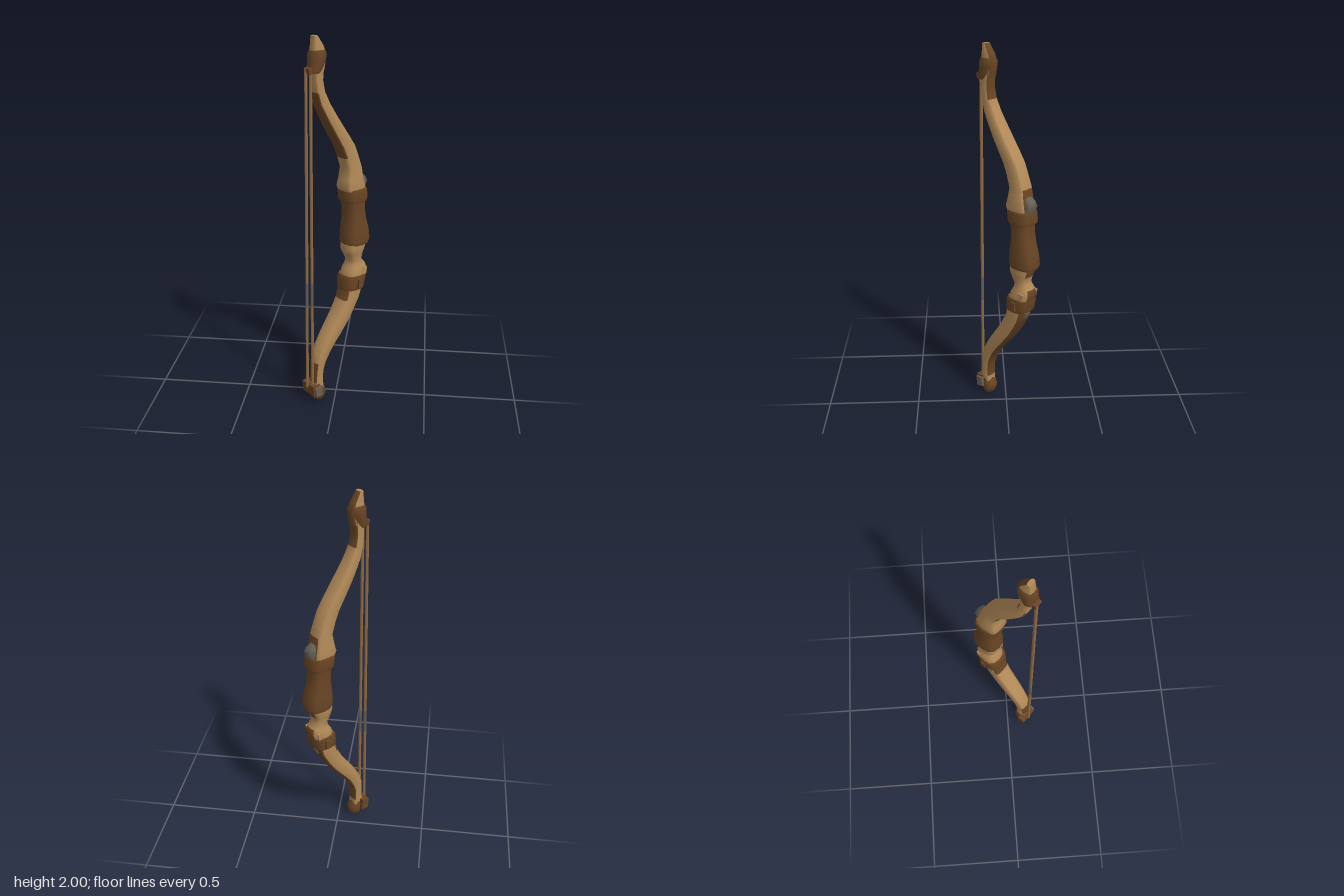
import * as THREE from 'three';

const mat = (name, color) => {
  const m = new THREE.MeshStandardMaterial({ color });
  m.name = name;
  return m;
};

export function createModel() {
  const wood = mat('wood', 0xb28a58);
  const leather = mat('leather', 0x694524);
  const metal = mat('dull grey', 0x686058);
  const cord = mat('cord', 0x916c44);

  const bow = new THREE.Group();
  bow.name = 'bow';

  // Lofted tube. Rows are [y, back x, belly x, half depth], rising in y.
  // power below 1 squares the section; pick(angle, y) is 1 for faces in the second material.
  function loft(name, rows, mats, sides, power, pick = () => 0) {
    const pos = [], lists = [[], []];
    const bulge = (v) => (Math.abs(v) < 1e-6 ? 0 : Math.sign(v) * Math.abs(v) ** power);
    rows.forEach(([y, x0, x1, hw]) => {
      for (let j = 0; j < sides; j++) {
        const a = (j / sides) * Math.PI * 2;
        pos.push((x0 + x1) / 2 + bulge(Math.cos(a)) * (x1 - x0) / 2, y, bulge(Math.sin(a)) * hw);
      }
    });
    for (let i = 0; i < rows.length - 1; i++) {
      for (let j = 0; j < sides; j++) {
        const k = (j + 1) % sides;
        const a = i * sides + j, b = i * sides + k, c = a + sides, d = b + sides;
        const which = pick(((j + 0.5) / sides) * Math.PI * 2, (rows[i][0] + rows[i + 1][0]) / 2);
        lists[which].push(a, c, b, b, c, d);
      }
    }
    // End caps with their own corners, so the rims stay crisp
    [0, rows.length - 1].forEach((r) => {
      const base = pos.length / 3;
      for (let j = 0; j < sides; j++) pos.push(...pos.slice((r * sides + j) * 3, (r * sides + j) * 3 + 3));
      for (let j = 1; j < sides - 1; j++) {
        lists[0].push(...(r === 0 ? [base, base + j, base + j + 1] : [base, base + j + 1, base + j]));
      }
    });
    const geo = new THREE.BufferGeometry();
    geo.setAttribute('position', new THREE.Float32BufferAttribute(pos, 3));
    geo.setIndex([...lists[0], ...lists[1]]);
    geo.addGroup(0, lists[0].length, 0);
    geo.addGroup(lists[0].length, lists[1].length, 1);
    geo.computeVertexNormals();
    const mesh = new THREE.Mesh(geo, mats);
    mesh.name = name;
    bow.add(mesh);
  }

  function box(name, size, at, material, tilt = 0) {
    const mesh = new THREE.Mesh(new THREE.BoxGeometry(...size), material);
    mesh.name = name;
    mesh.position.set(...at);
    mesh.rotation.z = tilt;
    bow.add(mesh);
  }

  const two = [wood, leather];
  const belly = (a) => Math.cos(a) > 0.3;
  const ridge = (a) => Math.cos(a) > 0.9;
  const back = (a) => Math.cos(a) < -0.3;

  // Upper limb: leather on its inner face
  loft('upperLimb', [
    [1.17, 0.05, 0.165, 0.055], [1.21, 0.03, 0.165, 0.06], [1.25, 0.04, 0.155, 0.055],
    [1.31, 0.05, 0.145, 0.05], [1.37, 0.03, 0.125, 0.047], [1.43, 0.005, 0.102, 0.046],
    [1.49, -0.03, 0.062, 0.046], [1.55, -0.065, 0.02, 0.045], [1.61, -0.098, -0.02, 0.042],
    [1.67, -0.128, -0.057, 0.038], [1.73, -0.142, -0.086, 0.035], [1.79, -0.147, -0.098, 0.033],
    [1.86, -0.15, -0.09, 0.033],
  ], two, 12, 0.5, (a, y) => (back(a) && y > 1.37 && y < 1.75)
    || (belly(a) && y > 1.74) || (ridge(a) && y < 1.31) ? 1 : 0);

  // Lower limb: leather on its outer face
  loft('lowerLimb', [
    [0.05, -0.165, -0.105, 0.035], [0.12, -0.17, -0.11, 0.033], [0.19, -0.165, -0.108, 0.035],
    [0.24, -0.162, -0.09, 0.038], [0.29, -0.148, -0.062, 0.042], [0.34, -0.122, -0.025, 0.045],
    [0.39, -0.092, 0.018, 0.048], [0.45, -0.05, 0.065, 0.05], [0.51, -0.01, 0.102, 0.051],
    [0.57, 0.022, 0.135, 0.053], [0.60, 0.03, 0.145, 0.054], [0.64, 0.04, 0.155, 0.055],
  ], two, 12, 0.5, (a, y) => (belly(a) && y > 0.15)
    || (back(a) && (y > 0.58 || (y > 0.15 && y < 0.26))) ? 1 : 0);

  // Carved waist between the lower strap and the grip
  loft('carvedWaist', [
    [0.63, 0.04, 0.16, 0.056], [0.70, 0.05, 0.18, 0.062], [0.735, 0.06, 0.19, 0.06],
    [0.76, 0.075, 0.18, 0.05], [0.79, 0.082, 0.155, 0.045], [0.83, 0.06, 0.165, 0.053],
    [0.86, 0.05, 0.178, 0.06], [0.90, 0.055, 0.18, 0.06],
  ], two, 12, 0.75, (a, y) => (ridge(a) && (y < 0.77 || y > 0.83) ? 1 : 0));

  // Leather grip and bindings
  loft('grip', [
    [0.88, 0.055, 0.2, 0.062], [0.90, 0.048, 0.207, 0.068], [0.96, 0.05, 0.2, 0.066],
    [1.02, 0.058, 0.182, 0.062], [1.08, 0.06, 0.172, 0.06], [1.13, 0.055, 0.172, 0.062],
  ], [leather, leather], 12, 0.75);
  loft('upperBinding', [
    [1.125, 0.045, 0.182, 0.066], [1.14, 0.038, 0.188, 0.07], [1.185, 0.036, 0.182, 0.07],
    [1.197, 0.042, 0.176, 0.065],
  ], [leather, leather], 12, 0.75);
  loft('lowerBinding', [
    [0.625, 0.035, 0.165, 0.064], [0.635, 0.03, 0.17, 0.069], [0.69, 0.034, 0.182, 0.071],
    [0.705, 0.042, 0.178, 0.066],
  ], [leather, leather], 12, 0.75);

  // Strap knots and carved ears on both sides
  for (const s of [-1, 1]) {
    box('strapKnot', [0.03, 0.05, 0.014], [0.11, 0.665, s * 0.071], leather);
    box('carvedEar', [0.03, 0.04, 0.016], [0.15, 0.725, s * 0.052], wood, -0.2);
  }

  // Grey arrow rest and stud on the outer side
  loft('arrowRest', [
    [1.19, 0.135, 0.178, 0.034], [1.225, 0.135, 0.192, 0.036], [1.25, 0.13, 0.182, 0.03],
    [1.27, 0.125, 0.157, 0.022],
  ], [metal, metal], 8, 0.7);
  box('lowerStud', [0.02, 0.035, 0.036], [0.138, 0.6, 0], metal, -0.4);

  // Wooden upper tip, leather on its outer face, with its collar
  loft('upperTip', [
    [1.84, -0.15, -0.085, 0.03], [1.91, -0.155, -0.07, 0.028], [1.95, -0.15, -0.086, 0.025],
    [1.98, -0.147, -0.108, 0.023], [2.0, -0.146, -0.122, 0.02],
  ], two, 12, 0.55, (a) => (belly(a) ? 1 : 0));
  loft('upperCollar', [
    [1.825, -0.168, -0.105, 0.036], [1.84, -0.17, -0.098, 0.041], [1.89, -0.165, -0.074, 0.042],
    [1.915, -0.166, -0.07, 0.041], [1.932, -0.16, -0.08, 0.033],
  ], [leather, leather], 8, 0.9);
  box('upperNock', [0.03, 0.03, 0.04], [-0.167, 1.838, 0], leather, 0.2);

  // Lower tip, cross nock and its cap
  loft('lowerTip', [
    [0, -0.145, -0.115, 0.02], [0.015, -0.165, -0.098, 0.036], [0.04, -0.17, -0.088, 0.043],
    [0.065, -0.168, -0.09, 0.042], [0.1, -0.168, -0.108, 0.036],
  ], [leather, leather], 8, 1);
  box('lowerNock', [0.045, 0.065, 0.1], [-0.168, 0.08, -0.008], leather, 0.1);
  box('nockCap', [0.04, 0.055, 0.014], [-0.162, 0.076, 0.047], metal, 0.1);

  // Two bowstring strands with grey servings
  [[-0.194, -0.178, -0.012], [-0.174, -0.164, 0.01]].forEach(([x0, x1, z]) => {
    const a = new THREE.Vector3(x0, 0.09, z), b = new THREE.Vector3(x1, 1.85, z * 0.8);
    const strand = (name, from, to, r, m) => {
      const path = new THREE.LineCurve3(a.clone().lerp(b, from), a.clone().lerp(b, to));
      const mesh = new THREE.Mesh(new THREE.TubeGeometry(path, 1, r, 6), m);
      mesh.name = name;
      bow.add(mesh);
    };
    strand('bowstring', 0, 1, 0.008, cord);
    strand('stringServing', 0.28, 0.36, 0.0085, metal);
  });

  // The bow stands diagonally
  bow.rotation.y = Math.PI / 4;
  const model = new THREE.Group();
  model.name = 'archeryBow';
  model.add(bow);
  return model;
}
